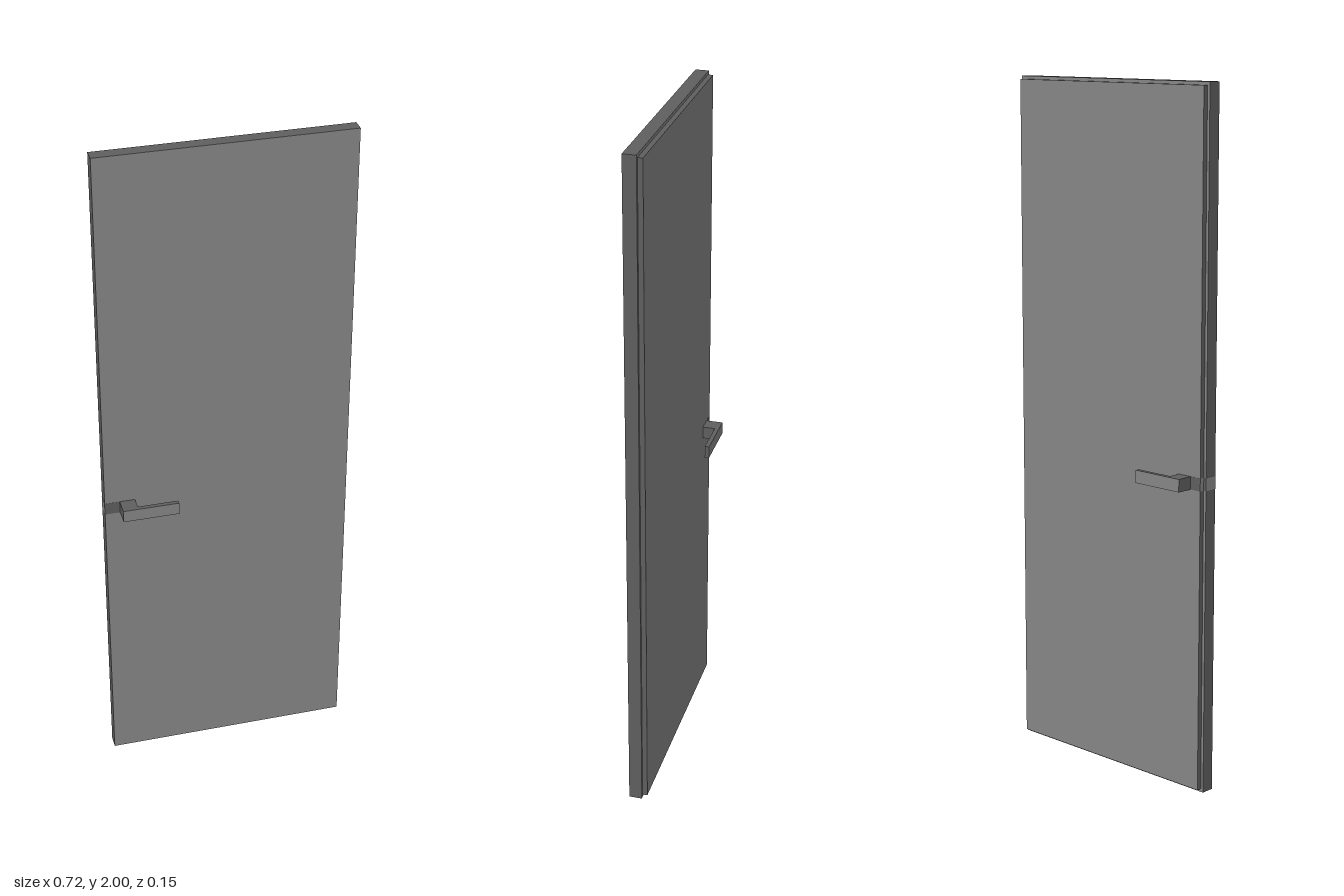
import * as THREE from 'three';

export function createModel() {
  const group = new THREE.Group();
  group.name = 'door';
  const light = new THREE.MeshStandardMaterial({ color: 0x878787, flatShading: true });
  const dark = new THREE.MeshStandardMaterial({ color: 0x5f5f5f, flatShading: true });
  // Box sides in order +x, -x, +y, -y, +z, -z
  const panelFinish = [dark, dark, dark, dark, light, light];
  const plateFinish = [light, light, light, light, dark, dark];

  // Box given by its extents along each axis
  function block(name, finish, [x0, x1], [y0, y1], [z0, z1], parent = group) {
    const mesh = new THREE.Mesh(new THREE.BoxGeometry(x1 - x0, y1 - y0, z1 - z0), finish);
    mesh.position.set((x0 + x1) / 2, (y0 + y1) / 2, (z0 + z1) / 2);
    mesh.name = name;
    parent.add(mesh);
  }

  // Door leaf: full-size front slab and slightly smaller rebated back slab
  const step = -0.0125, front = 0.026, back = -0.027;
  block('frontSlab', panelFinish, [-0.3615, 0.3615], [0, 2], [step, front]);
  block('backSlab', panelFinish, [-0.353, 0.353], [0.009, 1.991], [back, step]);

  // Thin lock plate wrapping the latch edge, following the rebate
  const handleY = [0.886, 0.923], proud = 0.0005;
  block('lockPlateFront', plateFinish, [-0.3615 - proud, -0.273], handleY, [step - proud, front + proud]);
  block('lockPlateBack', plateFinish, [-0.353 - proud, -0.273], handleY, [back - proud, step]);

  // Lever handle on each face
  for (const side of [1, -1]) {
    const handle = new THREE.Group();
    handle.name = side > 0 ? 'frontHandle' : 'backHandle';
    const depth = (a, b) => [side * a, side * b].sort((p, q) => p - q);
    block('stem', panelFinish, [-0.318, -0.273], handleY, depth(0.02, 0.0765), handle);
    block('lever', panelFinish, [-0.273, -0.155], handleY, depth(0.0635, 0.0765), handle);
    group.add(handle);
  }
  return group;
}
